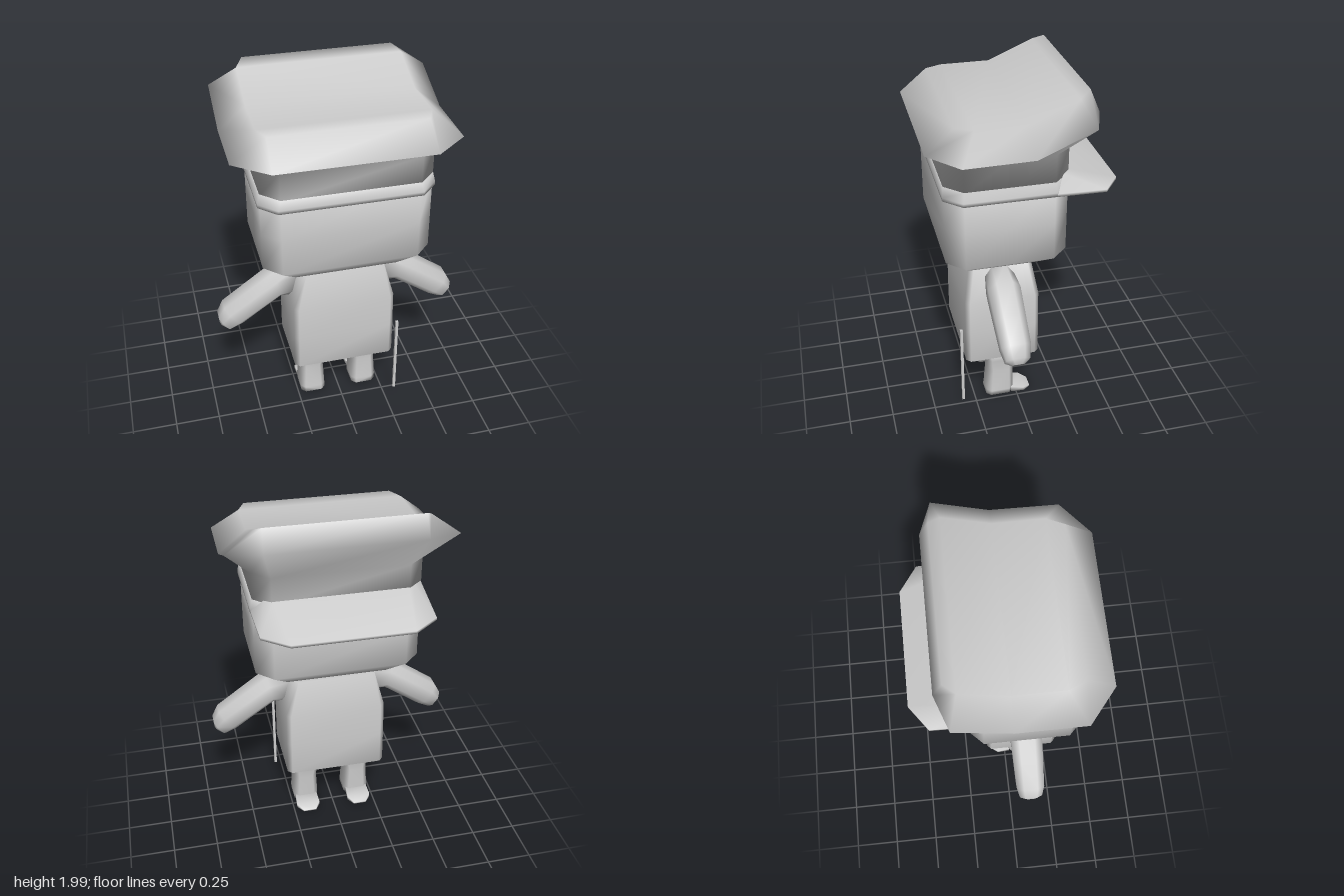
import * as THREE from 'three';

const grey = new THREE.MeshStandardMaterial({ color: 0xcccccc, side: THREE.DoubleSide });
grey.name = 'plain grey';

function mesh(name, geometry) {
  const m = new THREE.Mesh(geometry, grey);
  m.name = name;
  return m;
}

// Skin a stack of equal-sized rings (counterclockwise seen from the last ring) and close both ends
function loft(rings) {
  const n = rings[0].length, index = [];
  for (let i = 0; i < rings.length - 1; i++) {
    for (let j = 0; j < n; j++) {
      const a = i * n + j, b = i * n + (j + 1) % n;
      index.push(a, b, b + n, a, b + n, a + n);
    }
  }
  const last = (rings.length - 1) * n;
  for (let k = 0; k < n / 2 - 1; k++) {
    const a = k, b = k + 1, c = n - 2 - k, d = n - 1 - k;
    index.push(last + a, last + b, last + c, last + a, last + c, last + d);
    index.push(a, c, b, a, d, c);
  }
  const g = new THREE.BufferGeometry();
  g.setAttribute('position', new THREE.Float32BufferAttribute(rings.flat(2), 3));
  g.setIndex(index);
  g.computeVertexNormals();
  return g;
}

// Complete a ring from its +x half, listed from +z to -z
const mirrored = half => [...half, ...half.map(([x, y, z]) => [-x, y, z]).reverse()];

// Horizontal box outline with cut corners
const outline = (y, hx, zFront, zBack, cut) => mirrored([
  [hx - cut, y, zFront], [hx, y, zFront - cut], [hx, y, (zFront + zBack) / 2],
  [hx, y, zBack + cut], [hx - cut, y, zBack],
]);

function createArm() {
  // Upper and lower edge of the sleeve at each station: [topX, topY, bottomX, bottomY, halfDepth]
  const stations = [
    [0.22, 0.945, 0.26, 0.75, 0.08],
    [0.37, 0.92, 0.335, 0.755, 0.09],
    [0.52, 0.815, 0.45, 0.675, 0.085],
    [0.655, 0.72, 0.555, 0.6, 0.08],
    [0.69, 0.655, 0.62, 0.565, 0.065],
    [0.685, 0.61, 0.66, 0.585, 0.035],
  ];
  const section = [[0, -0.5], [0.25, -1], [0.75, -1], [1, -0.5], [1, 0.5], [0.75, 1], [0.25, 1], [0, 0.5]];
  return mesh('arm', loft(stations.map(([tx, ty, bx, by, d]) =>
    section.map(([t, s]) => [bx + (tx - bx) * t, by + (ty - by) * t, 0.105 - s * d]).reverse())));
}

// Leg outline with its own x range
const legRing = (y, x0, x1, z0, z1, c = 0.025) => [
  [x1 - c, y, z1], [x1, y, z1 - c], [x1, y, z0 + c], [x1 - c, y, z0],
  [x0 + c, y, z0], [x0, y, z0 + c], [x0, y, z1 - c], [x0 + c, y, z1],
];

function createLeg() {
  const leg = new THREE.Group();
  leg.name = 'leg';
  leg.add(mesh('trouserLeg', loft([
    legRing(0.015, 0.085, 0.23, 0.02, 0.18),
    legRing(0.045, 0.085, 0.232, 0.018, 0.175),
    legRing(0.19, 0.092, 0.225, 0.018, 0.165),
    legRing(0.27, 0.08, 0.232, 0.012, 0.172),
    legRing(0.36, 0.045, 0.24, 0.0, 0.185),
  ])));
  // Thin toe sloping down from the ankle
  const toe = (lift, z) => [[0.225, 0.01 + lift, z], [0.23, 0.01 + lift * 0.6, -0.045], [0.195, 0.008 + lift * 0.2, -0.09],
    [0.12, 0.008 + lift * 0.2, -0.09], [0.09, 0.01 + lift * 0.6, -0.045], [0.095, 0.01 + lift, z]];
  leg.add(mesh('toe', loft([toe(0.005, 0.03), toe(0.04, 0.03)])));
  return leg;
}

export function createModel() {
  const model = new THREE.Group();
  model.name = 'figure';

  // Head
  model.add(mesh('head', loft([
    outline(1.0, 0.33, 0.33, -0.13, 0.05),
    outline(1.09, 0.455, 0.418, -0.23, 0.09),
    outline(1.3, 0.455, 0.418, -0.23, 0.09),
    outline(1.54, 0.455, 0.418, -0.23, 0.09),
  ])));

  // Hat: band, flared rim and a crown that rises towards the visor side
  model.add(mesh('hat', loft([
    outline(1.53, 0.455, 0.418, -0.23, 0.09),
    outline(1.69, 0.455, 0.418, -0.23, 0.09),
    mirrored([[0.415, 1.74, 0.508], [0.595, 1.74, 0.36], [0.597, 1.745, 0.0], [0.597, 1.87, -0.295], [0.415, 1.88, -0.36]]),
    mirrored([[0.41, 1.865, 0.36], [0.45, 1.865, 0.27], [0.45, 1.865, 0.0], [0.45, 1.97, -0.25], [0.41, 2.0, -0.31]]),
  ])));
  model.add(mesh('hatStrap', loft([
    outline(1.465, 0.468, 0.425, -0.235, 0.09),
    outline(1.485, 0.468, 0.425, -0.235, 0.09),
    outline(1.54, 0.455, 0.418, -0.23, 0.09),
  ])));
  model.add(mesh('visor', loft([
    mirrored([[0.468, 1.465, 0.07], [0.466, 1.462, -0.14], [0.457, 1.452, -0.41], [0.32, 1.443, -0.508]]),
    mirrored([[0.468, 1.472, 0.07], [0.466, 1.478, -0.14], [0.457, 1.466, -0.41], [0.32, 1.458, -0.508]]),
    mirrored([[0.45, 1.475, 0.05], [0.45, 1.55, -0.135], [0.4, 1.555, -0.19], [0.36, 1.56, -0.228]]),
  ])));

  // Torso
  model.add(mesh('torso', loft([
    outline(0.325, 0.24, 0.26, -0.07, 0.02),
    outline(0.345, 0.29, 0.308, -0.117, 0.025),
    outline(0.55, 0.29, 0.308, -0.117, 0.025),
    outline(0.745, 0.288, 0.306, -0.115, 0.025),
    outline(0.953, 0.235, 0.27, -0.08, 0.025),
  ])));

  // Limbs on both sides
  for (const side of [1, -1]) {
    const limbs = new THREE.Group();
    limbs.name = side > 0 ? 'leftLimbs' : 'rightLimbs';
    limbs.add(createArm(), createLeg());
    limbs.scale.x = side;
    model.add(limbs);
  }

  // Thin stick hanging beside the body
  const stick = mesh('stick', new THREE.BoxGeometry(0.015, 0.5, 0.015));
  stick.position.set(0.298, 0.338, 0.337);
  model.add(stick);

  return model;
}
